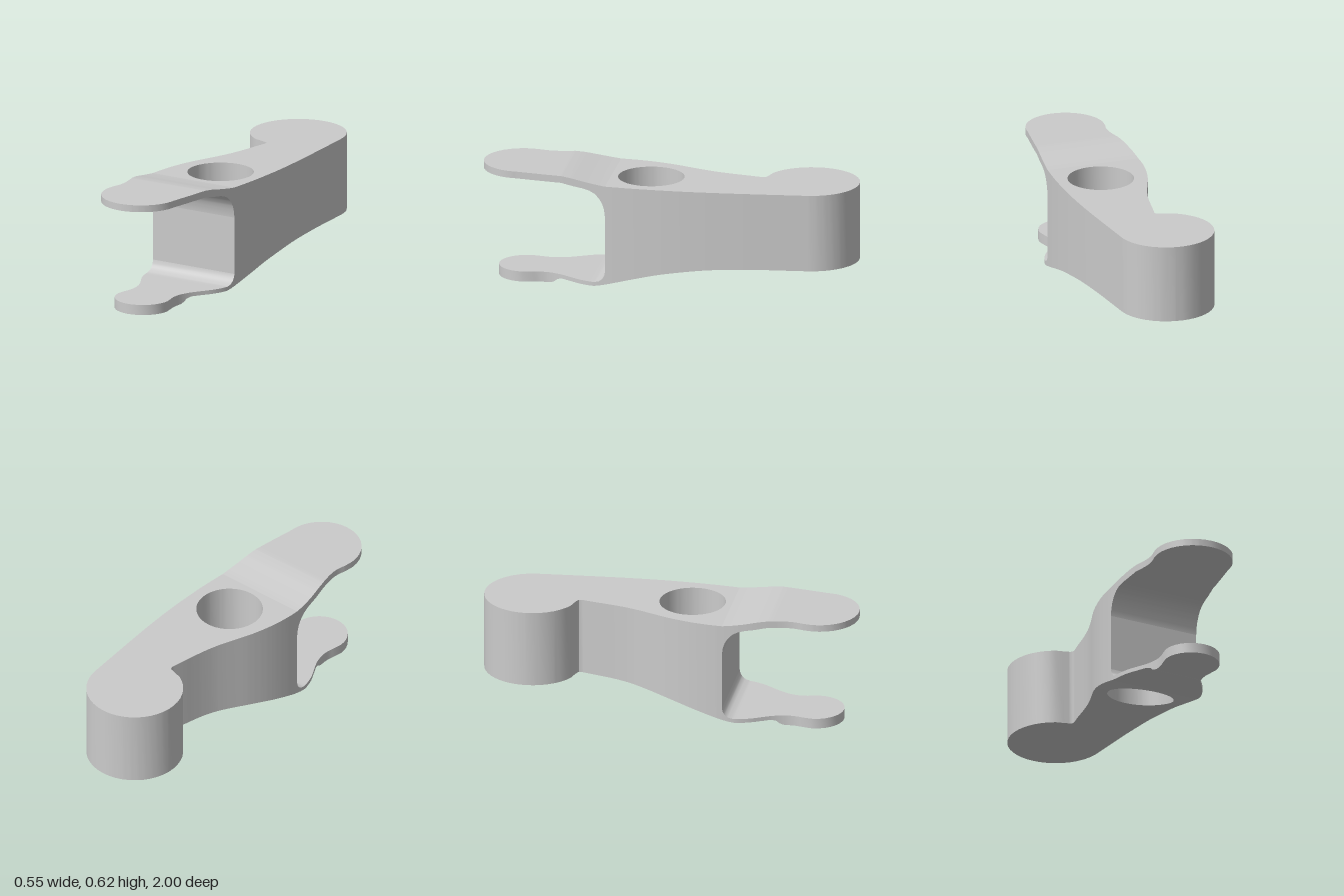
import * as THREE from 'three';
import { toCreasedNormals } from 'three/addons/utils/BufferGeometryUtils.js';

// All outlines are lists of [z, value], sorted by z.
const smooth = (pts, n = 24) =>
  new THREE.SplineCurve(pts.map(p => new THREE.Vector2(...p))).getPoints(n).map(p => [p.x, p.y]);

// Arc of a rounded end; angles in degrees, 0 = +x, 90 = +z
function arc(cx, cz, r, from, to, n = 9) {
  return Array.from({ length: n + 1 }, (_, i) => {
    const a = THREE.MathUtils.degToRad(from + (to - from) * i / n);
    return [cz + r * Math.sin(a), cx + r * Math.cos(a)];
  });
}

function at(pts, z) {
  if (z <= pts[0][0]) return pts[0][1];
  for (let i = 1; i < pts.length; i++) {
    const [z0, v0] = pts[i - 1], [z1, v1] = pts[i];
    if (z <= z1) return z1 - z0 < 1e-7 ? v1 : v0 + (v1 - v0) * (z - z0) / (z1 - z0);
  }
  return pts[pts.length - 1][1];
}

function addTriangle(out, a, b, c) {
  const area = new THREE.Triangle(...[a, b, c].map(p => new THREE.Vector3(...p))).getArea();
  if (area > 1e-9) out.push(...a, ...b, ...c);
}

function addQuad(out, a, b, c, d) {
  addTriangle(out, a, b, c);
  addTriangle(out, a, c, d);
}

// Open-ended loft of rectangular sections, with a station at every outline point
function loft(out, z0, z1, left, right, low, high) {
  const inner = [left, right, low, high].flat().map(p => p[0]).filter(z => z > z0 + 1e-5 && z < z1 - 1e-5);
  const zs = [z0, ...inner, z1].sort((a, b) => a - b).filter((z, i, s) => i === 0 || z - s[i - 1] > 1e-5);
  const section = z => {
    const l = at(left, z), r = at(right, z), b = at(low, z), t = at(high, z);
    return [[l, b, z], [r, b, z], [r, t, z], [l, t, z]];
  };
  for (let i = 1; i < zs.length; i++) {
    const s = section(zs[i - 1]), e = section(zs[i]);
    for (let k = 0; k < 4; k++) {
      const m = (k + 1) % 4;
      addQuad(out, s[k], s[m], e[m], e[k]);
    }
  }
}

function makeMesh(name, positions) {
  const geometry = new THREE.BufferGeometry();
  geometry.setAttribute('position', new THREE.Float32BufferAttribute(positions, 3));
  const mesh = new THREE.Mesh(toCreasedNormals(geometry, 0.5), new THREE.MeshStandardMaterial({ color: 0xcccccc }));
  mesh.name = name;
  return mesh;
}

export function createModel() {
  const group = new THREE.Group();
  const wallZ = 0.31;

  // Plan outline of the arm, from the round rear boss to the round upper tab
  const left = [
    ...arc(-0.02, -0.745, 0.255, 270, 118, 18),
    [-0.509, -0.1], [-0.499, -0.068], [-0.49, -0.056],
    ...smooth([[-0.475, -0.054], [-0.4, -0.07], [-0.3, -0.089], [-0.2, -0.115], [-0.1, -0.152], [0, -0.192],
      [0.1, -0.222], [0.2, -0.242], [0.31, -0.252], [0.42, -0.248], [0.53, -0.232], [0.61, -0.216],
      [0.66, -0.211], [0.7, -0.214], [0.74, -0.224]], 40),
    ...arc(-0.02, 0.79, 0.21, 180, 90)
  ];
  const right = [
    ...arc(-0.02, -0.745, 0.255, -90, -8),
    ...smooth([[-0.74, 0.236], [-0.5, 0.254], [-0.3, 0.267], [-0.1, 0.274], [0.05, 0.272], [0.2, 0.265],
      [0.4, 0.246], [0.6, 0.221], [0.8, 0.189]], 24),
    ...arc(-0.02, 0.79, 0.21, 6, 90)
  ];

  // Side profile
  const top = [[-1, 0.585], [0.31, 0.585], [0.35, 0.59], [0.42, 0.601], [0.5, 0.616], [0.55, 0.622], [1, 0.622]];
  const bottom = [
    [-1, 0.17],
    ...smooth([[-0.5, 0.17], [-0.35, 0.165], [-0.2, 0.154], [0, 0.124], [0.15, 0.089], [0.31, 0.046], [0.37, 0.034]], 20),
    [0.4, 0.033], [0.56, 0.033], [0.585, 0.025], [0.6, 0.011], [0.62, 0.002], [0.64, 0], [0.92, 0]
  ];

  // Body, split either side of the bore
  const hx = 0.035, hz = 0.1, hr = 0.175;
  const boreLeft = arc(hx, hz, hr, 270, 90, 24);
  const boreRight = arc(hx, hz, hr, -90, 90, 24);
  const body = [];
  loft(body, -1, hz - hr, left, right, bottom, top);
  loft(body, hz - hr, hz + hr, left, boreLeft, bottom, top);
  loft(body, hz - hr, hz + hr, boreRight, right, bottom, top);
  loft(body, hz + hr, wallZ, left, right, bottom, top);

  // Inner faces of the fork
  const upperInner = [[0.31, 0.42], [0.314, 0.455], [0.324, 0.487], [0.342, 0.517], [0.366, 0.541], [0.395, 0.556],
    [0.43, 0.565], [0.48, 0.572], [0.55, 0.585], [1, 0.585]];
  const lowerInner = [[0.31, 0.112], [0.314, 0.093], [0.325, 0.075], [0.342, 0.062], [0.37, 0.055], [0.92, 0.055]];

  // Front wall between the two tabs
  const l = at(left, wallZ), r = at(right, wallZ), y0 = lowerInner[0][1], y1 = upperInner[0][1];
  addQuad(body, [l, y0, wallZ], [r, y0, wallZ], [r, y1, wallZ], [l, y1, wallZ]);
  group.add(makeMesh('armBody', body));

  // Upper tab
  const upper = [];
  loft(upper, wallZ, 1, left, right, upperInner, top);
  group.add(makeMesh('upperTab', upper));

  // Lower tab, necking down to a small round foot
  const footLeft = [
    ...smooth([[0.31, -0.252], [0.38, -0.249], [0.45, -0.23], [0.51, -0.2], [0.57, -0.17], [0.63, -0.154],
      [0.68, -0.153], [0.72, -0.161]], 24),
    ...arc(-0.02, 0.77, 0.15, 180, 90)
  ];
  const footRight = [
    ...smooth([[0.31, at(right, wallZ)], [0.38, 0.246], [0.45, 0.218], [0.51, 0.178], [0.57, 0.14], [0.63, 0.117],
      [0.68, 0.114], [0.72, 0.121]], 24),
    ...arc(-0.02, 0.77, 0.15, 0, 90)
  ];
  const lower = [];
  loft(lower, wallZ, 0.92, footLeft, footRight, bottom, lowerInner);
  group.add(makeMesh('lowerTab', lower));

  return group;
}
